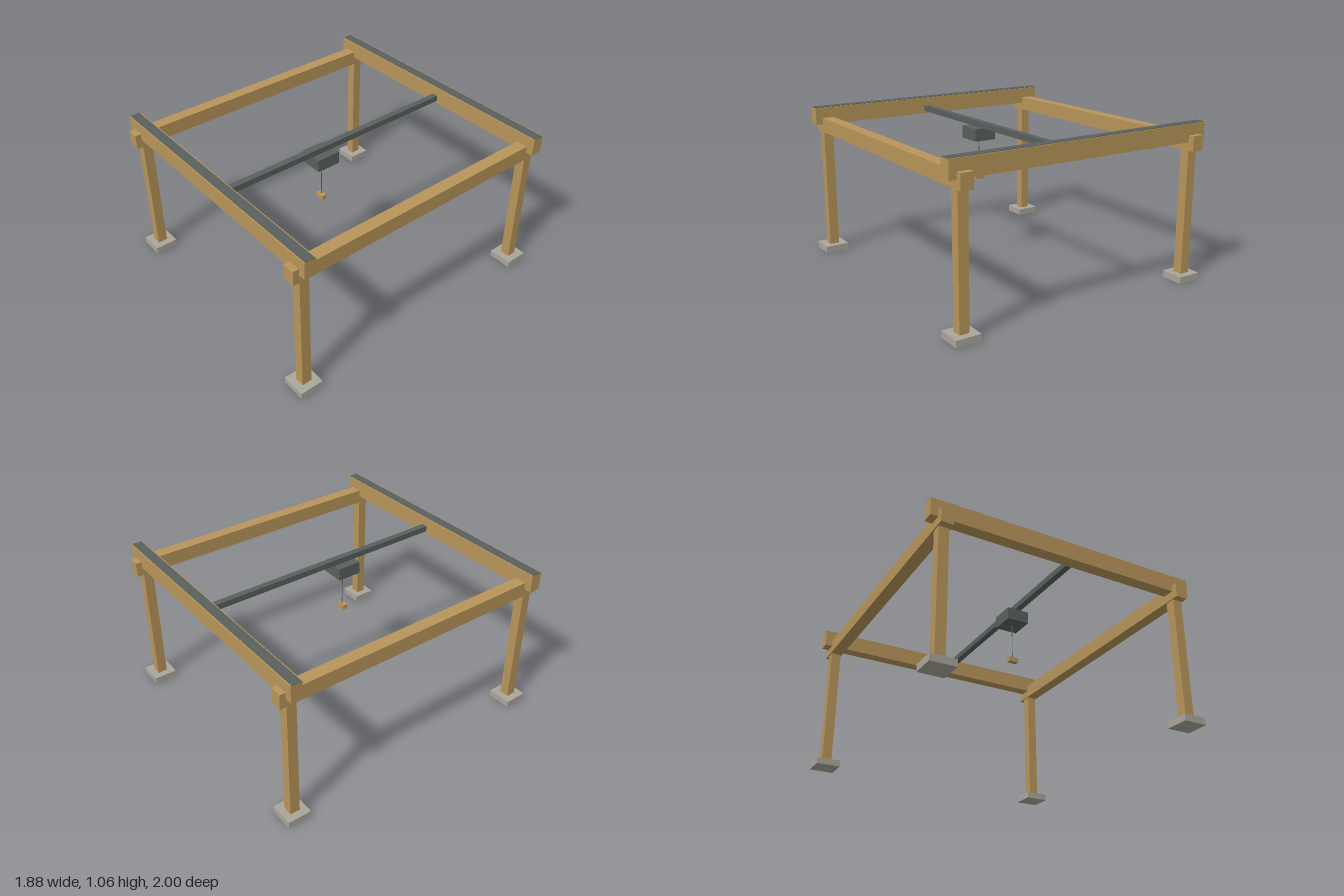
import * as THREE from 'three';

const material = (name, color) => {
  const m = new THREE.MeshStandardMaterial({ color });
  m.name = name;
  return m;
};

export function createModel() {
  const wood = material('timber', 0xb8955a);
  const steel = material('darkSteel', 0x59605e);
  const concrete = material('concrete', 0xaaa69b);
  const model = new THREE.Group();
  model.name = 'gantryFrame';

  const add = (name, geometry, mat, x, y, z) => {
    const mesh = new THREE.Mesh(geometry, mat);
    mesh.name = name;
    mesh.position.set(x, y, z);
    model.add(mesh);
  };
  // Box placed by its bottom height
  const box = (name, mat, w, h, d, x, bottom, z) =>
    add(name, new THREE.BoxGeometry(w, h, d), mat, x, bottom + h / 2, z);

  const postX = 0.85, postZ = 0.92;

  // Four posts on concrete footings
  for (const sx of [-1, 1]) {
    for (const sz of [-1, 1]) {
      box('footing', concrete, 0.165, 0.045, 0.16, sx * postX, 0, sz * postZ);
      box('post', wood, 0.066, 0.84, 0.066, sx * postX, 0.045, sz * postZ);
    }
    // Side beam running front to back
    box('sideBeam', wood, 0.082, 0.1, 2, sx * postX, 0.88, 0);
  }

  // Cross beams with a thin rail plate on top
  for (const sz of [-1, 1]) {
    box('crossBeam', wood, 1.88, 0.118, 0.08, 0, 0.935, sz * postZ);
    box('railPlate', steel, 1.88, 0.003, 0.064, 0, 1.053, sz * postZ);
  }

  // Travelling bridge bar and its trolley
  const trolleyX = 0.063, trolleyZ = 0.146;
  box('bridgeBar', steel, 0.042, 0.04, 1.77, trolleyX, 0.953, 0);
  box('trolley', steel, 0.158, 0.085, 0.168, trolleyX, 0.868, trolleyZ);

  // Hanging cable and load block
  add('cable', new THREE.CylinderGeometry(0.003, 0.003, 0.256, 8), steel, trolleyX, 0.743, trolleyZ);
  box('loadBlock', wood, 0.066, 0.032, 0.035, trolleyX, 0.586, trolleyZ + 0.002);

  return model;
}
